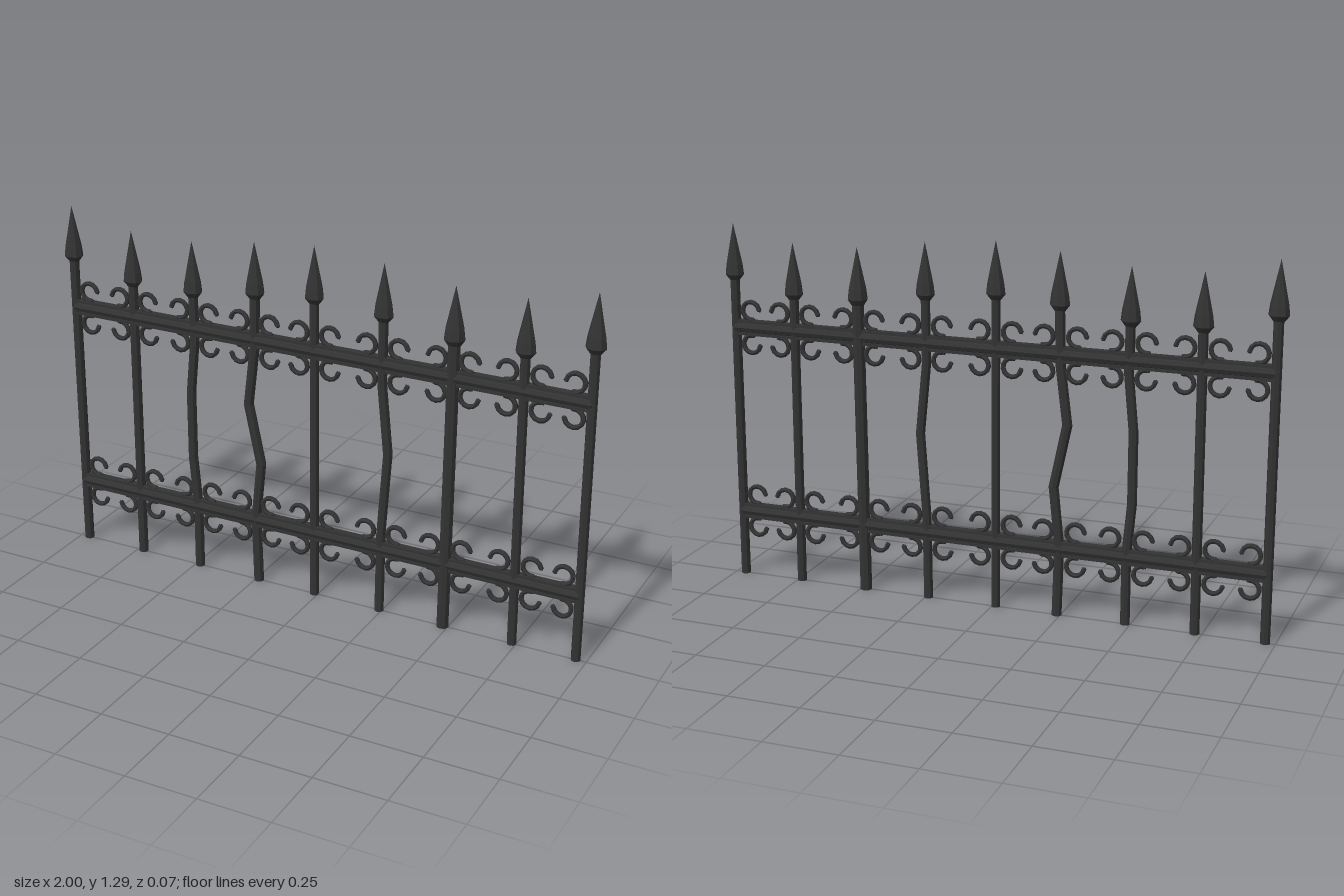
import * as THREE from 'three';

const iron = new THREE.MeshStandardMaterial({ color: 0x333333, flatShading: true });
iron.name = 'dark iron';

// each post: spear base height, shaft radius, and [x, y] centre line from the ground up
const POSTS = [
  { head: 1.11, r: 0.017, path: [[-0.965, 0], [-0.965, 1.1]] },
  { head: 1.055, r: 0.017, path: [[-0.725, 0], [-0.723, 1.05]] },
  { head: 1.055, r: 0.017, path: [[-0.482, 0], [-0.482, 0.25], [-0.498, 0.43], [-0.498, 0.68], [-0.478, 0.88], [-0.481, 1.05]] },
  { head: 1.09, r: 0.018, path: [[-0.237, 0], [-0.244, 0.25], [-0.222, 0.46], [-0.268, 0.68], [-0.243, 0.88], [-0.238, 1.08]] },
  { head: 1.11, r: 0.016, path: [[-0.013, 0], [-0.013, 1.1]] },
  { head: 1.09, r: 0.017, path: [[0.24, 0], [0.243, 0.3], [0.264, 0.6], [0.239, 0.85], [0.241, 1.08]] },
  { head: 1.055, r: 0.022, path: [[0.481, 0], [0.492, 1.05]] },
  { head: 1.055, r: 0.017, path: [[0.735, 0], [0.735, 1.05]] },
  { head: 1.11, r: 0.017, path: [[0.963, 0], [0.963, 1.1]] },
];
const RAILS = [0.243, 0.922];

function add(parent, name, geometry, x = 0, y = 0, z = 0) {
  const mesh = new THREE.Mesh(geometry, iron);
  mesh.name = name;
  mesh.position.set(x, y, z);
  parent.add(mesh);
  return mesh;
}

// cylinder whose rings are moved onto the bent centre line
function shaftGeometry(path, r) {
  const n = path.length - 1;
  const geo = new THREE.CylinderGeometry(r, r, 1, 8, n);
  const pos = geo.attributes.position;
  for (let i = 0; i < pos.count; i++) {
    const [x, y] = path[Math.round((pos.getY(i) + 0.5) * n)];
    pos.setXY(i, pos.getX(i) + x, y);
  }
  geo.computeVertexNormals();
  return geo;
}

// spear point with a short chamfer below its widest ring
function headGeometry(r) {
  const wide = r * 0.4 + 0.028;
  const profile = [[0, -0.022], [r, -0.022], [wide, 0], [wide * 0.88, 0.035], [0, 0.18]];
  const geo = new THREE.LatheGeometry(profile.map(([x, y]) => new THREE.Vector2(x, y)), 8);
  return geo.scale(1, 1, r > 0.02 ? 0.95 : 0.85);
}

// open C-shaped scroll, bulging towards its post
function scrollGeometry(side, up) {
  const points = [];
  for (let i = 0; i <= 9; i++) {
    const a = THREE.MathUtils.degToRad(10 + i * 30);
    points.push(new THREE.Vector3(side * 0.032 * Math.cos(a), up * 0.032 * Math.sin(a), 0));
  }
  return new THREE.TubeGeometry(new THREE.CatmullRomCurve3(points), 10, 0.0085, 6);
}

// closes the two open ends of a scroll
function scrollCaps(parent, side, up, x, y) {
  for (const deg of [10, 280]) {
    const a = THREE.MathUtils.degToRad(deg);
    add(parent, 'scrollEnd', new THREE.IcosahedronGeometry(0.0095, 0),
      x + side * 0.032 * Math.cos(a), y + up * 0.032 * Math.sin(a));
  }
}

// x of a post's centre line at a given height
function xAt(path, y) {
  for (let i = 1; i < path.length; i++) {
    const [x0, y0] = path[i - 1], [x1, y1] = path[i];
    if (y <= y1) return x0 + (x1 - x0) * (y - y0) / (y1 - y0);
  }
  return path[path.length - 1][0];
}

export function createModel() {
  const fence = new THREE.Group();
  fence.name = 'ironFence';

  // posts with spear points
  for (const { head, r, path } of POSTS) {
    const post = new THREE.Group();
    post.name = 'post';
    add(post, 'shaft', shaftGeometry(path, r));
    add(post, 'spearHead', headGeometry(r), path[path.length - 1][0], head, 0);
    fence.add(post);
  }

  for (const y of RAILS) {
    const rail = new THREE.Group();
    rail.name = 'rail';
    // rounded core bar between two thin flanges
    add(rail, 'railCore', new THREE.CylinderGeometry(0.02, 0.02, 1.93, 8).rotateZ(Math.PI / 2), 0, y, 0);
    for (const s of [-1, 1]) {
      add(rail, 'railFlange', new THREE.BoxGeometry(1.93, 0.01, 0.026), 0, y + s * 0.022, 0);
    }
    // scrolls in both corners of every bay, above and below the rail
    POSTS.forEach(({ path }, i) => {
      for (const side of [-1, 1]) {
        if (!POSTS[i + side]) continue;
        for (const up of [-1, 1]) {
          const x = xAt(path, y) + side * 0.058, cy = y + up * 0.06;
          add(rail, 'scroll', scrollGeometry(side, up), x, cy, 0);
          scrollCaps(rail, side, up, x, cy);
        }
      }
    });
    fence.add(rail);
  }
  return fence;
}
